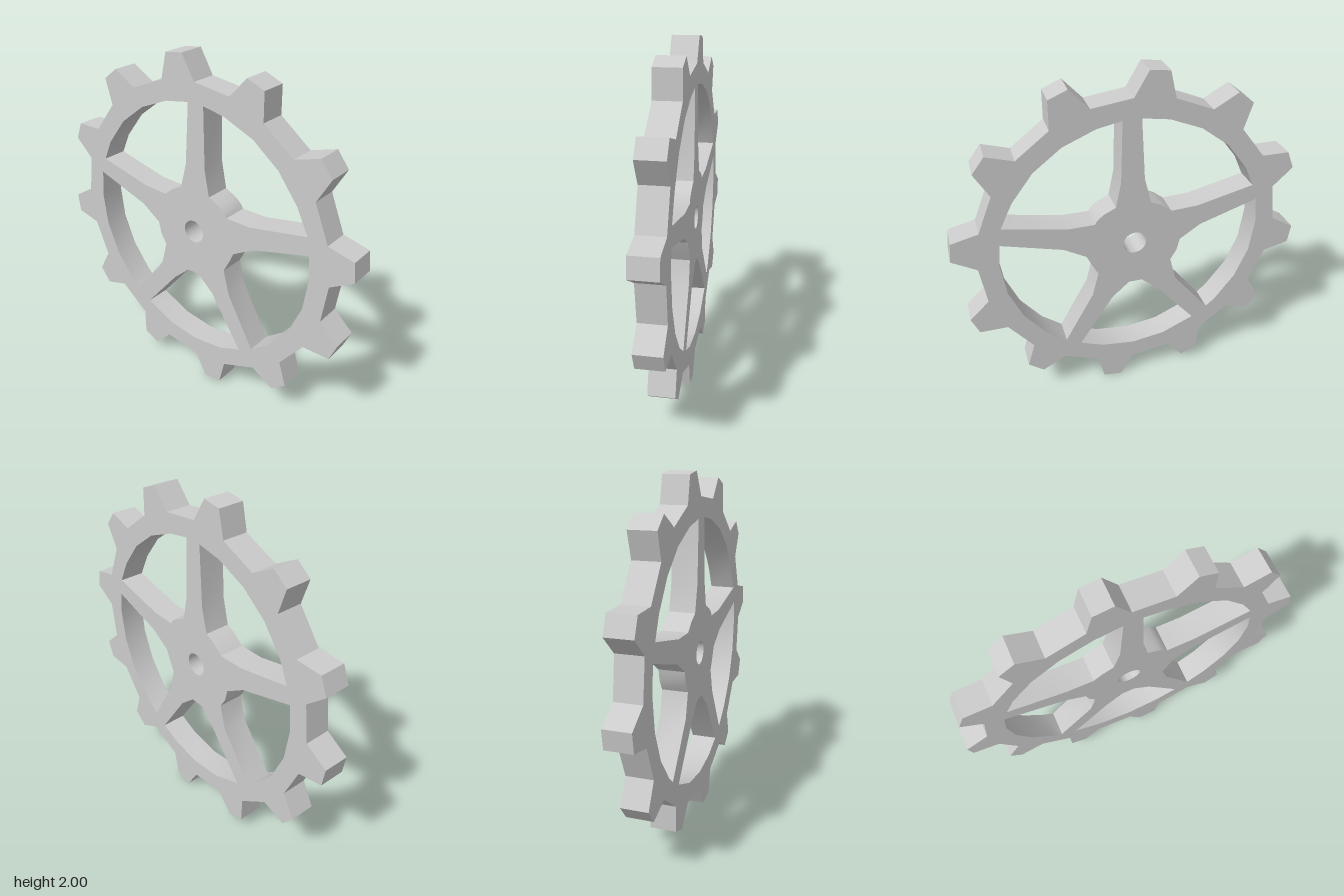
import * as THREE from 'three';
import { toCreasedNormals } from 'three/addons/utils/BufferGeometryUtils.js';

const DEPTH = 0.15;
const TEETH = 12;
const ROOT_R = 0.866;
const TIP_R = 1.004;
const RIM_R = 0.752; // inner radius of the rim, a 24-sided polygon

const polar = (r, deg) => {
  const a = THREE.MathUtils.degToRad(deg);
  return new THREE.Vector2(r * Math.cos(a), r * Math.sin(a));
};

// Each window: spoke and hub edge, from one rim corner to the other (relative to
// the wheel centre), closed by rim vertices at 15 degree steps from..to.
const windows = [
  { from: 2, to: 5, edge: [[0.06, 0.752], [0.07, 0.4], [0.1, 0.25], [0.17, 0.217], [0.205, 0.187], [0.22, 0.163], [0.374, 0.163], [0.722, 0.233]] },
  { from: 7, to: 10, edge: [[-0.706, 0.254], [-0.374, 0.178], [-0.22, 0.172], [-0.166, 0.217], [-0.1, 0.25], [-0.062, 0.4], [-0.043, 0.752]] },
  { from: 12, to: 15, edge: [[-0.476, -0.58], [-0.262, -0.307], [-0.225, -0.163], [-0.262, -0.1], [-0.278, -0.03], [-0.4, 0.05], [-0.738, 0.158]] },
  { from: 17, to: 19, edge: [[0.33, -0.67], [0.128, -0.362], [0.027, -0.272], [-0.053, -0.272], [-0.16, -0.37], [-0.385, -0.642]] },
  { from: 21, to: 24, edge: [[0.738, 0.131], [0.4, 0.035], [0.273, -0.04], [0.246, -0.1], [0.209, -0.172], [0.246, -0.316], [0.417, -0.623]] },
];

export function createModel() {
  const group = new THREE.Group();
  group.name = 'gearWheel';

  // Toothed outline
  const outline = [];
  for (let i = 0; i < TEETH; i++) {
    const a = (i * 360) / TEETH;
    outline.push(polar(ROOT_R, a), polar(TIP_R, a + 4.6), polar(TIP_R, a + 10.9), polar(ROOT_R, a + 15));
  }
  const shape = new THREE.Shape(outline);

  // Windows between the five spokes
  for (const { from, to, edge } of windows) {
    const points = edge.map(([x, y]) => new THREE.Vector2(x, y));
    for (let k = from; k <= to; k++) points.push(polar(RIM_R, k * 15));
    shape.holes.push(new THREE.Path(points));
  }

  // Axle hole
  shape.holes.push(new THREE.Path().absarc(-0.008, 0, 0.067, 0, Math.PI * 2, true));

  const geometry = new THREE.ExtrudeGeometry(shape, { depth: DEPTH, bevelEnabled: false, curveSegments: 16 });
  geometry.translate(0, 1, -DEPTH / 2);

  const wheel = new THREE.Mesh(
    toCreasedNormals(geometry, 0.45),
    new THREE.MeshStandardMaterial({ color: 0xcccccc })
  );
  wheel.name = 'toothedWheel';
  group.add(wheel);
  return group;
}
